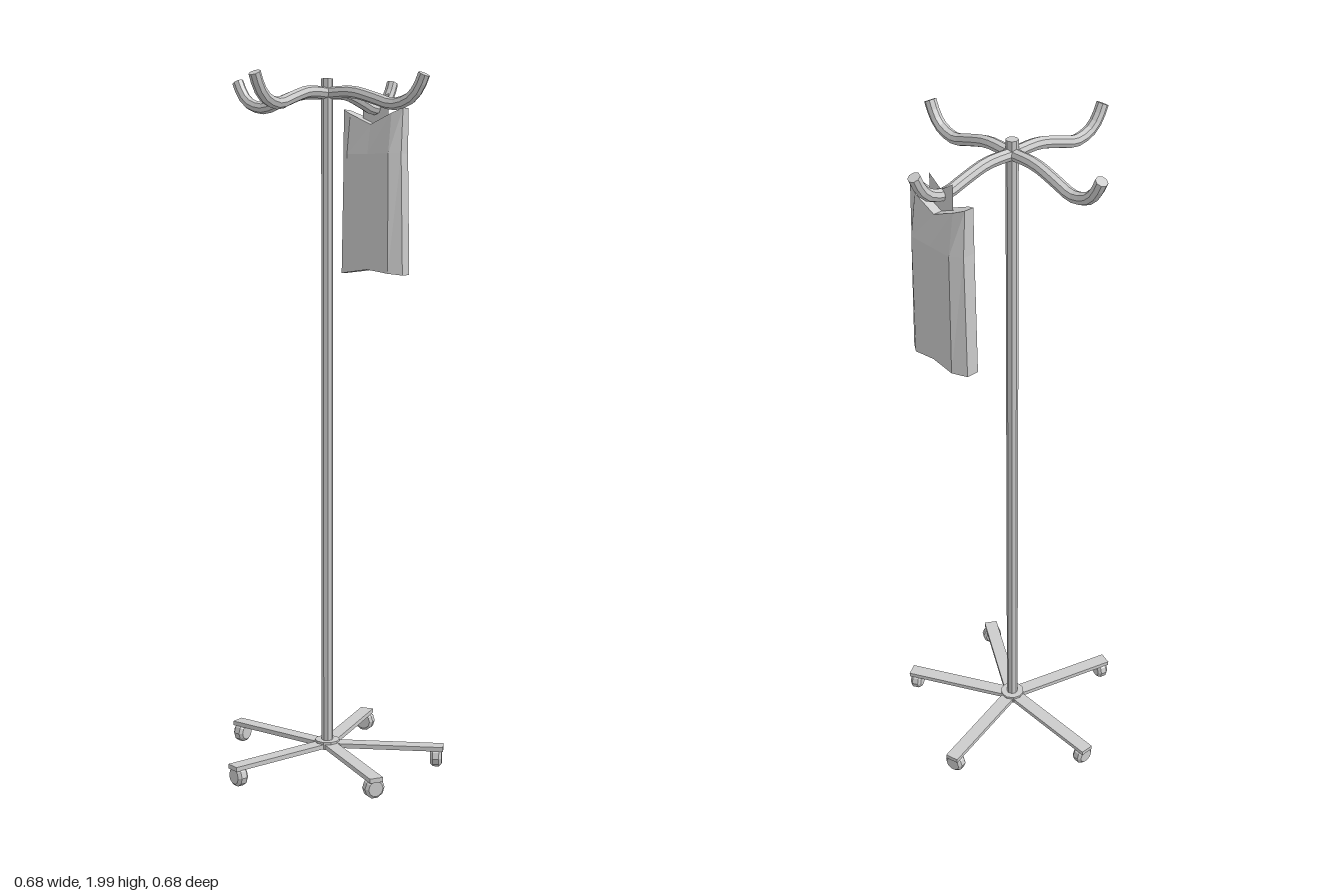
import * as THREE from 'three';

const grey = new THREE.MeshStandardMaterial({ color: 0xcccccc, flatShading: true });
const thin = new THREE.MeshStandardMaterial({ color: 0xcccccc, flatShading: true, side: THREE.DoubleSide });

function add(parent, name, geometry, x = 0, y = 0, z = 0, material = grey) {
  const mesh = new THREE.Mesh(geometry, material);
  mesh.name = name;
  mesh.position.set(x, y, z);
  parent.add(mesh);
  return mesh;
}

// Curved hook arm, running out along +x
function hookArm() {
  const arm = new THREE.Group();
  arm.name = 'hookArm';
  const points = [[0, 1.945], [0.09, 1.945], [0.16, 1.927], [0.225, 1.909], [0.28, 1.924], [0.305, 1.95], [0.323, 1.986]];
  const path = new THREE.CatmullRomCurve3(points.map(([x, y]) => new THREE.Vector3(x, y, 0)));
  add(arm, 'hookTube', new THREE.TubeGeometry(path, 14, 0.017, 8));
  const cap = add(arm, 'hookEnd', new THREE.CircleGeometry(0.017, 8));
  cap.position.copy(path.getPoint(1));
  cap.lookAt(path.getPoint(1).add(path.getTangent(1)));
  return arm;
}

// Flat base leg with a round caster, running out along +x
function baseLeg() {
  const leg = new THREE.Group();
  leg.name = 'baseLeg';
  add(leg, 'legBar', new THREE.BoxGeometry(0.343, 0.013, 0.04), 0.1715, 0.0565, 0);
  const profile = [[0, -0.017], [0.022, -0.017], [0.03, -0.009], [0.03, 0.009], [0.022, 0.017], [0, 0.017]];
  const wheel = new THREE.LatheGeometry(profile.map(p => new THREE.Vector2(...p)), 10);
  add(leg, 'caster', wheel, 0.322, 0.03, 0).rotation.z = -Math.PI / 2;
  return leg;
}

// Fluid bag lofted through three horizontal rings; its ends dip towards the middle
function bagGeometry() {
  const levels = [
    { y: 1.43, dip: 0.015, inner: 0.018, outer: 0.042, end: 0.109 },
    { y: 1.78, dip: 0, inner: 0.018, outer: 0.042, end: 0.102 },
    { y: 1.91, dip: -0.045, inner: 0.014, outer: 0.026, end: 0.105 },
  ];
  const pos = [], index = [], n = 10;
  for (const { y, dip, inner, outer, end } of levels) {
    const half = [[inner, end], [outer, 0.073], [outer, 0], [outer, -0.073], [inner, -end]];
    const ring = [...half, ...half.map(([x, z]) => [-x, -z])];
    for (const [x, z] of ring) pos.push(x, y + dip * (1 - Math.abs(z) / end), z);
  }
  for (let l = 0; l < levels.length - 1; l++) {
    for (let i = 0; i < n; i++) {
      const a = l * n + i, b = l * n + (i + 1) % n;
      index.push(a, b, b + n, a, b + n, a + n);
    }
  }
  // End faces, bridged strip by strip between the two long sides
  const top = 2 * n;
  for (let i = 0; i < 4; i++) {
    const a = i, b = i + 1, c = 8 - i, d = 9 - i;
    index.push(a, d, c, a, c, b);
    index.push(top + a, top + b, top + c, top + a, top + c, top + d);
  }
  const geometry = new THREE.BufferGeometry();
  geometry.setAttribute('position', new THREE.Float32BufferAttribute(pos, 3));
  geometry.setIndex(index);
  geometry.computeVertexNormals();
  return geometry;
}

export function createModel() {
  const model = new THREE.Group();
  model.name = 'dripStand';

  // Pole and base hub
  add(model, 'pole', new THREE.CylinderGeometry(0.017, 0.017, 1.935, 8), 0, 1.0175, 0);
  add(model, 'baseHub', new THREE.CylinderGeometry(0.036, 0.036, 0.022, 10), 0, 0.059, 0);

  // Four hook arms
  for (let i = 0; i < 4; i++) {
    const arm = hookArm();
    arm.rotation.y = i * Math.PI / 2;
    model.add(arm);
  }

  // Five legs: one straight back, two to the sides, two forward
  for (const degrees of [90, 15, 165, -60, -120]) {
    const leg = baseLeg();
    leg.rotation.y = THREE.MathUtils.degToRad(degrees);
    model.add(leg);
  }

  // Bag and its notched hanging tab on the left arm
  add(model, 'fluidBag', bagGeometry(), 0.238, 0, 0);
  const outline = [[-0.045, 1.955], [-0.045, 1.87], [0, 1.85], [0.045, 1.87], [0.045, 1.955], [0, 1.925]];
  const tab = new THREE.ShapeGeometry(new THREE.Shape(outline.map(p => new THREE.Vector2(...p))));
  add(model, 'hangingTab', tab, 0.238, 0, 0, thin).rotation.y = Math.PI / 2;

  return model;
}
